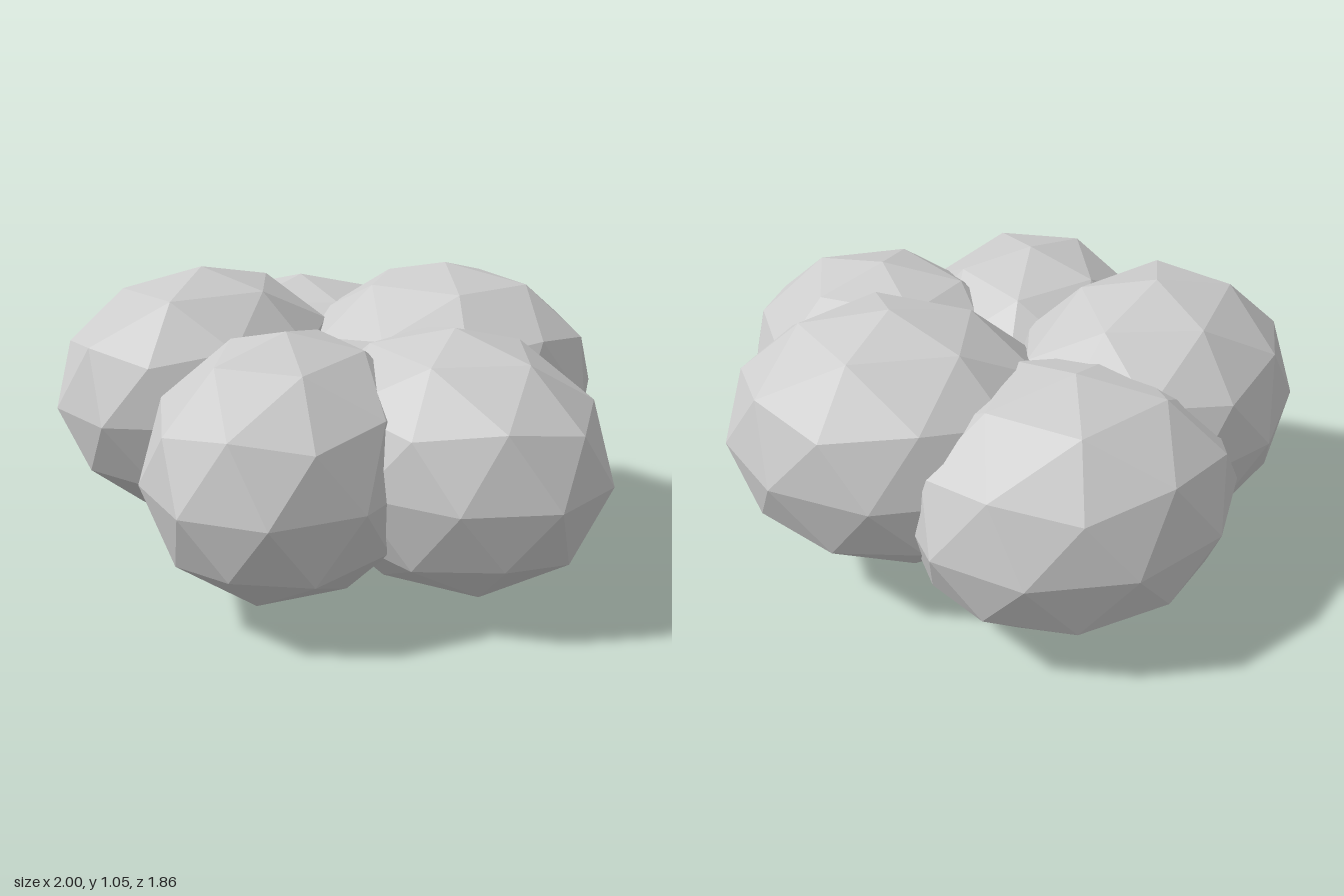
import * as THREE from 'three';

export function createModel() {
  const group = new THREE.Group();
  const foliageGrey = new THREE.MeshStandardMaterial({ color: 0xcccccc, flatShading: true });
  foliageGrey.name = 'light grey';

  const base = new THREE.Vector3(-0.07, 0.017, -0.022);
  const up = new THREE.Vector3(0, 1, 0);

  // low-poly clump with a vertex at each pole, stretched along x
  const clumpShape = new THREE.IcosahedronGeometry(1, 1);
  clumpShape.rotateZ(-Math.atan(2 / (1 + Math.sqrt(5))));
  clumpShape.scale(0.566, 0.45, 0.47);
  clumpShape.computeVertexNormals();

  for (let i = 0; i < 5; i++) {
    // clumps on an oval ring, alternating in height and turning steadily
    const a = (i / 5) * Math.PI * 2;
    const centre = new THREE.Vector3(
      base.x + 0.531 * Math.cos(a),
      i % 2 ? 0.595 : 0.49,
      base.z - 0.428 * Math.sin(a)
    );
    const clump = new THREE.Mesh(clumpShape, foliageGrey);
    clump.name = 'foliageClump' + (i + 1);
    clump.position.copy(centre);
    clump.rotation.y = 0.5 * i;
    group.add(clump);

    // thin branch from the shared foot into the clump
    const dir = centre.clone().sub(base);
    const branch = new THREE.Mesh(new THREE.CylinderGeometry(0.024, 0.024, dir.length(), 6), foliageGrey);
    branch.name = 'branch' + (i + 1);
    branch.position.copy(base).addScaledVector(dir, 0.5);
    branch.quaternion.setFromUnitVectors(up, dir.normalize());
    group.add(branch);
  }
  return group;
}
